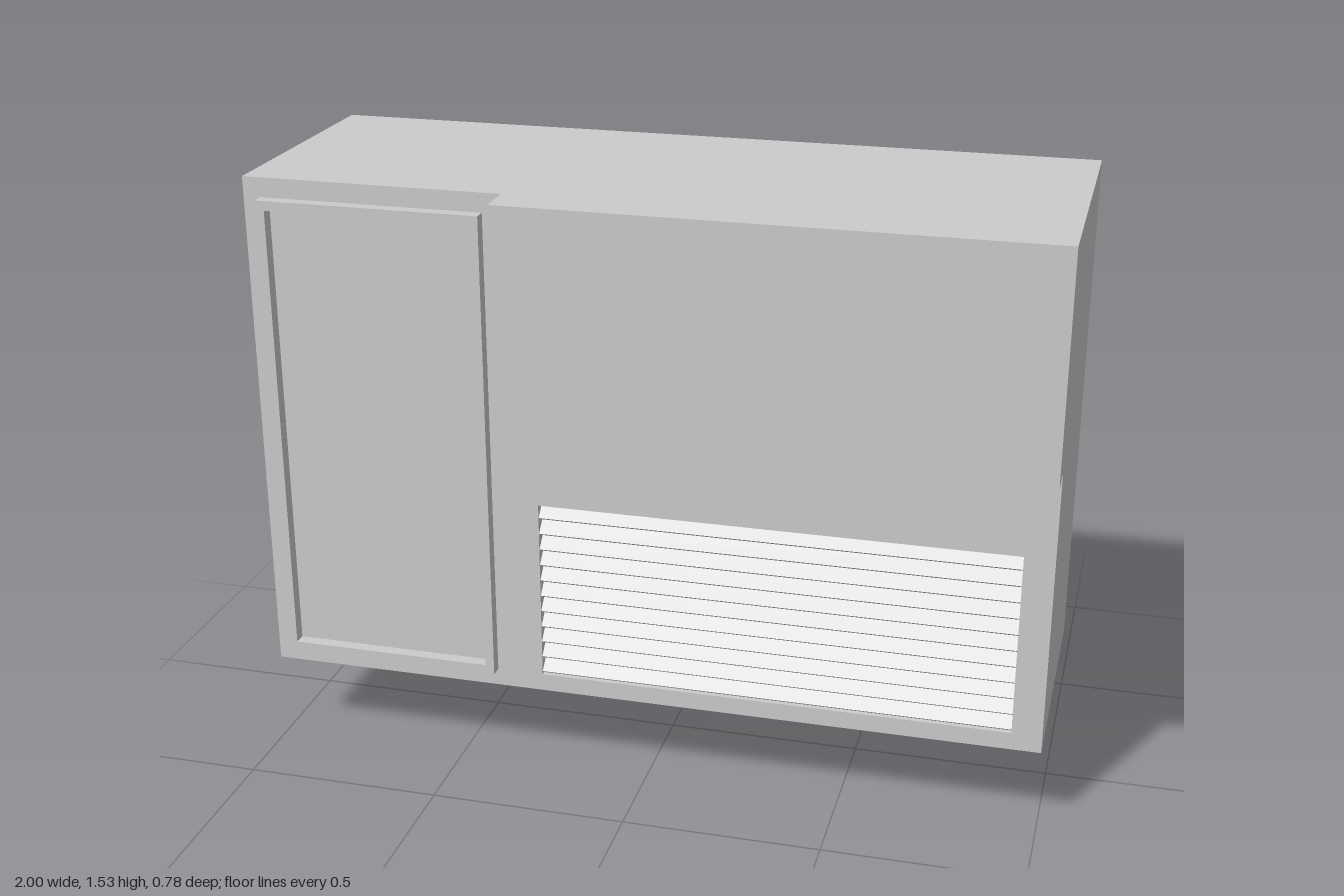
import * as THREE from 'three';
import { toCreasedNormals } from 'three/addons/utils/BufferGeometryUtils.js';

const material = new THREE.MeshStandardMaterial({ color: 0xcccccc });

function add(parent, name, geometry) {
  const mesh = new THREE.Mesh(geometry, material);
  mesh.name = name;
  parent.add(mesh);
  return mesh;
}

// Box given by its limits on each axis
function box(x0, x1, y0, y1, z0, z1) {
  return new THREE.BoxGeometry(x1 - x0, y1 - y0, z1 - z0)
    .translate((x0 + x1) / 2, (y0 + y1) / 2, (z0 + z1) / 2);
}

function rectPoints(x0, x1, y0, y1) {
  return [[x0, y0], [x1, y0], [x1, y1], [x0, y1]].map(([x, y]) => new THREE.Vector2(x, y));
}

// Rectangular plate with a rectangular opening
function frame(outer, inner, z0, z1) {
  const shape = new THREE.Shape(rectPoints(...outer));
  shape.holes.push(new THREE.Path(rectPoints(...inner).reverse()));
  return new THREE.ExtrudeGeometry(shape, { depth: z1 - z0, bevelEnabled: false }).translate(0, 0, z0);
}

// Bent L-shaped mounting foot, profile drawn in (z, y)
function footGeometry(width) {
  const s = new THREE.Shape();
  s.moveTo(-0.39, 0);
  s.lineTo(-0.367, 0);
  s.lineTo(-0.367, 0.155);
  s.absarc(-0.322, 0.155, 0.045, Math.PI, Math.PI / 2, true);
  s.lineTo(-0.12, 0.2);
  s.lineTo(-0.12, 0.22);
  s.lineTo(-0.345, 0.22);
  s.absarc(-0.345, 0.175, 0.045, Math.PI / 2, Math.PI, false);
  s.lineTo(-0.39, 0);
  const g = new THREE.ExtrudeGeometry(s, { depth: width, bevelEnabled: false, curveSegments: 8 });
  return toCreasedNormals(g.rotateY(-Math.PI / 2).translate(width / 2, 0, 0), 0.6);
}

export function createModel() {
  const model = new THREE.Group();
  model.name = 'ventilatedCabinet';

  // Cabinet: solid rear, front plate with the vent opening, raised upper block
  const vent = [-0.27, 0.925, 0.27, 0.742];
  const recess = 0.25;
  add(model, 'cabinetBody', box(-1, 1, 0.225, 1.53, -0.39, recess));
  add(model, 'cabinetFront', frame([-1, 1, 0.225, 1.53], vent, recess, 0.29));
  add(model, 'upperHousing', box(-0.34, 1, 0.963, 1.53, 0.29, 0.39));

  // Raised door frame around a recessed panel
  add(model, 'doorFrame', frame([-0.957, -0.39, 0.27, 1.481], [-0.934, -0.413, 0.294, 1.457], 0.29, 0.322));

  // Louvre slats sloping down towards the front
  const louvres = new THREE.Group();
  louvres.name = 'ventLouvres';
  const count = 11;
  const pitch = (vent[3] - vent[2]) / count;
  const slat = new THREE.BoxGeometry(vent[1] - vent[0], 0.006, 0.046);
  for (let i = 0; i < count; i++) {
    const mesh = add(louvres, 'louvreSlat', slat);
    mesh.position.set((vent[0] + vent[1]) / 2, vent[2] + pitch * (i + 0.53), 0.27);
    mesh.rotation.x = Math.PI / 4;
  }
  model.add(louvres);

  // Mounting feet under the rear edge
  const foot = footGeometry(0.196);
  for (const x of [-0.664, 0.638]) add(model, 'mountingFoot', foot).position.x = x;

  return model;
}
